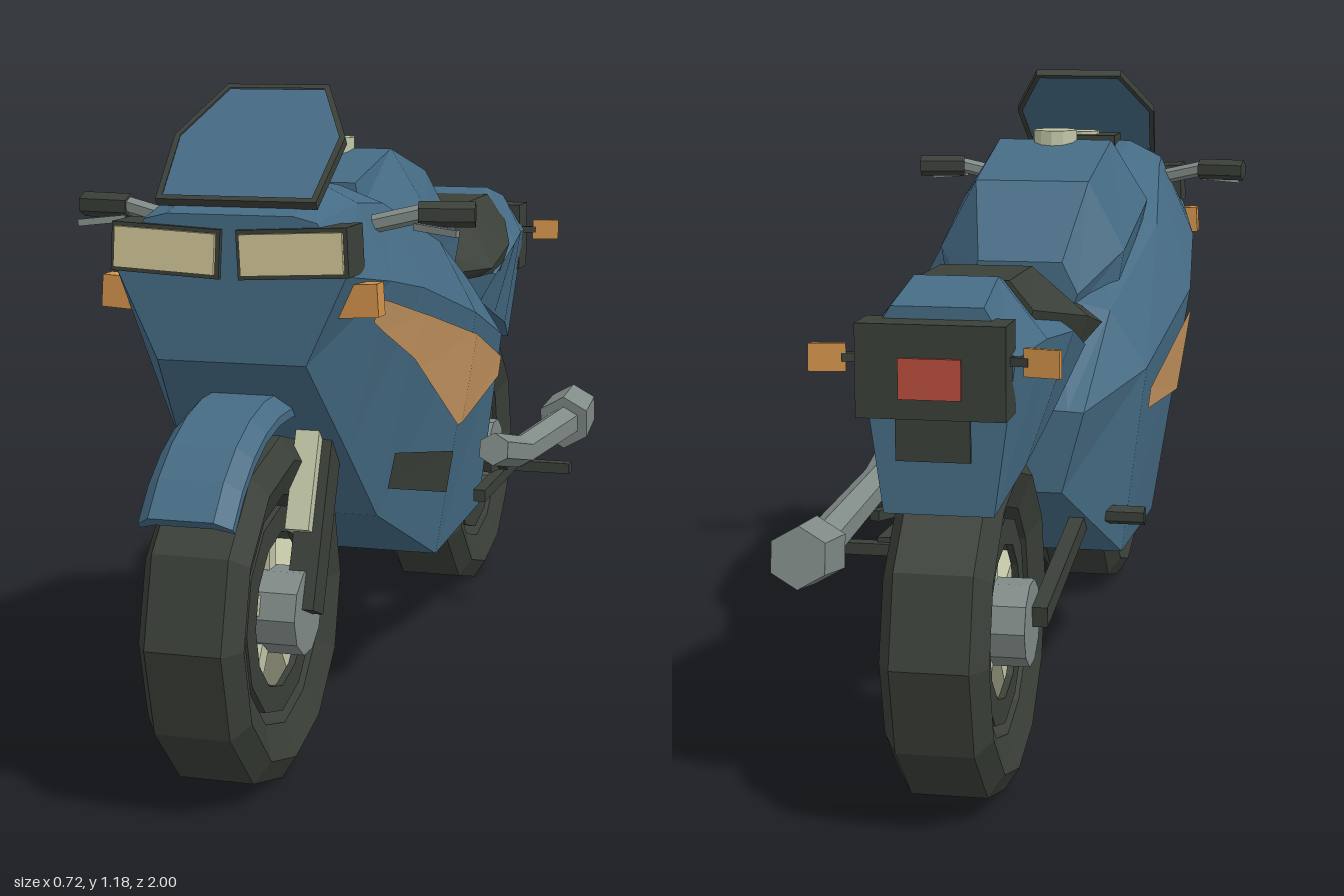
import * as THREE from 'three';

const mat = (name, color) => {
  const m = new THREE.MeshStandardMaterial({ color, flatShading: true });
  m.name = name;
  return m;
};

export function createModel() {
  const blue = mat('blue paint', 0x456b84), dark = mat('dark rubber', 0x3a3f38);
  const grey = mat('grey metal', 0x808a86), pale = mat('pale alloy', 0xc2c6a6);
  const cream = mat('headlight glass', 0xd2c698), orange = mat('indicator orange', 0xd0924a);
  const tan = mat('tan stripe', 0xc89660), red = mat('red lamp', 0xb84c3e);
  const bike = new THREE.Group();
  const V = (x, y, z) => new THREE.Vector3(x, y, z);

  const add = (name, geo, m, pos = [0, 0, 0], parent = bike) => {
    const mesh = new THREE.Mesh(geo, m);
    mesh.name = name;
    mesh.position.set(...pos);
    parent.add(mesh);
    return mesh;
  };
  const box = (name, m, size, pos, parent) => add(name, new THREE.BoxGeometry(...size), m, pos, parent);
  // Straight bar from a to b: rectangular w x h
  const bar = (name, m, a, b, w, h) => {
    const p = V(...a), q = V(...b);
    const mesh = box(name, m, [w, h, p.distanceTo(q)], p.clone().add(q).multiplyScalar(0.5).toArray());
    mesh.lookAt(q);
    return mesh;
  };
  // Six-sided rod from a to b with end radii
  const rod = (name, m, a, b, ra, rb = ra) => {
    const p = V(...a), q = V(...b);
    const geo = new THREE.CylinderGeometry(rb, ra, p.distanceTo(q), 6).rotateX(Math.PI / 2);
    const mesh = add(name, geo, m, p.clone().add(q).multiplyScalar(0.5).toArray());
    mesh.lookAt(q);
    return mesh;
  };
  const fromTriangles = (pts) => {
    const geo = new THREE.BufferGeometry().setFromPoints(pts);
    geo.computeVertexNormals();
    return geo;
  };
  // Mirrored half sections [z, [x, y] from bottom to top...], listed front to back
  const loft = (sections) => {
    const rings = sections.map(([z, ...h]) => [
      ...h.map(([x, y]) => V(x, y, z)), ...h.slice().reverse().map(([x, y]) => V(-x, y, z))]);
    const n = rings[0].length, pts = [];
    for (let i = 0; i < rings.length - 1; i++) {
      for (let j = 0; j < n; j++) {
        const k = (j + 1) % n, [a, b, c, d] = [rings[i][j], rings[i][k], rings[i + 1][k], rings[i + 1][j]];
        pts.push(a, d, c, a, c, b);
      }
    }
    const f = rings[0], r = rings[rings.length - 1];
    for (let j = 1; j < n - 1; j++) pts.push(f[0], f[j], f[j + 1], r[0], r[j + 1], r[j]);
    return fromTriangles(pts);
  };

  // Fairing
  const hull = [
    [0.76, [0.13, 0.73], [0.2, 0.88], [0.15, 0.965], [0.11, 0.975]],
    [0.6, [0.153, 0.555], [0.23, 0.855], [0.17, 0.985], [0.1, 1.02]],
    [0.48, [0.17, 0.42], [0.255, 0.83], [0.18, 0.975], [0.1, 1.005]],
    [0.2, [0.205, 0.285], [0.28, 0.75], [0.21, 0.88], [0.1, 0.925]],
    [-0.19, [0.195, 0.295], [0.24, 0.652], [0.17, 0.76], [0.08, 0.78]],
    [-0.38, [0.11, 0.45], [0.15, 0.6], [0.12, 0.602], [0.05, 0.605]],
  ];
  add('fairing', loft(hull), blue);

  // Point on the lower flank of the fairing, pushed slightly outwards
  const flank = (s, z, y) => {
    const i = hull.findIndex((h, k) => k > 0 && h[0] <= z), p = hull[i - 1], q = hull[i];
    const t = (p[0] - z) / (p[0] - q[0]), mix = (k, c) => p[k][c] + (q[k][c] - p[k][c]) * t;
    const u = (y - mix(1, 1)) / (mix(2, 1) - mix(1, 1));
    return V(s * (mix(1, 0) + (mix(2, 0) - mix(1, 0)) * u + 0.009), y, z);
  };
  // Painted strip given by columns [z, lower y, upper y]
  const strip = (name, m, s, cols) => {
    const pts = [];
    for (let i = 0; i < cols.length - 1; i++) {
      const [z0, l0, u0] = cols[i], [z1, l1, u1] = cols[i + 1];
      const a = flank(s, z0, l0), b = flank(s, z0, u0), c = flank(s, z1, u1), d = flank(s, z1, l1);
      pts.push(...(s > 0 ? [a, d, c, a, c, b] : [a, c, d, a, b, c]));
    }
    add(name, fromTriangles(pts), m);
  };

  // Fuel tank, seat and tail
  add('tank', loft([
    [0.38, [0.1, 0.9], [0.11, 0.95], [0.1, 1.0]],
    [0.2, [0.17, 0.84], [0.19, 0.93], [0.115, 1.05]],
    [-0.07, [0.16, 0.74], [0.18, 0.86], [0.11, 0.99]],
    [-0.2, [0.09, 0.74], [0.11, 0.79], [0.08, 0.85]],
  ]), blue);
  add('fuelCap', new THREE.CylinderGeometry(0.045, 0.045, 0.03, 12), pale, [0, 1.055, 0.2]);
  add('seat', loft([
    [-0.15, [0.08, 0.745], [0.1, 0.77], [0.06, 0.785]],
    [-0.36, [0.15, 0.745], [0.18, 0.765], [0.08, 0.79]],
    [-0.52, [0.16, 0.74], [0.18, 0.8], [0.08, 0.885]],
    [-0.73, [0.1, 0.78], [0.12, 0.84], [0.08, 0.888]],
  ]), dark);
  add('tail', loft([
    [-0.46, [0.13, 0.68], [0.165, 0.74], [0.08, 0.755]],
    [-0.62, [0.125, 0.63], [0.17, 0.79], [0.07, 0.86]],
    [-0.77, [0.115, 0.59], [0.15, 0.8], [0.07, 0.9]],
    [-0.915, [0.09, 0.535], [0.125, 0.79], [0.075, 0.87]],
  ]), blue);
  box('tailLampHousing', dark, [0.24, 0.15, 0.08], [0, 0.775, -0.93]);
  box('tailLamp', red, [0.1, 0.065, 0.008], [0, 0.765, -0.972]);
  box('rearPlate', dark, [0.12, 0.08, 0.008], [0, 0.67, -0.95]);

  // Windscreen with dark frame, leaning back
  const screen = new THREE.Group();
  screen.name = 'windscreen';
  screen.position.set(0, 0.99, 0.73);
  screen.rotation.x = -0.9;
  bike.add(screen);
  const outline = (k) => [[-0.14, 0], [-0.152, 0.16], [-0.092, 0.292], [0.092, 0.292], [0.152, 0.16], [0.14, 0]]
    .map(([x, y]) => new THREE.Vector2(x * k, 0.15 + (y - 0.15) * k));
  const frame = new THREE.Shape(outline(1));
  frame.holes.push(new THREE.Path(outline(0.93)));
  const extrude = (shape, depth) => new THREE.ExtrudeGeometry(shape, { depth, bevelEnabled: false });
  add('screenFrame', extrude(frame, 0.016), dark, [0, 0, -0.008], screen);
  add('screenPane', extrude(new THREE.Shape(outline(0.94)), 0.008), blue, [0, 0, -0.004], screen);

  // Instruments
  box('dashboard', dark, [0.15, 0.05, 0.1], [0, 1.01, 0.58]);
  add('dial', new THREE.CylinderGeometry(0.035, 0.035, 0.008, 10), pale, [0, 1.038, 0.58]);

  // Wheels: tyre, brake rings, spokes and hub
  const ring = (profile) => new THREE.LatheGeometry(
    [...profile, profile[0]].map((p) => new THREE.Vector2(...p)), 12).rotateZ(Math.PI / 2);
  const wheel = (name, z) => {
    const g = new THREE.Group();
    g.name = name;
    g.position.set(0, 0.3, z);
    bike.add(g);
    add('tyre', ring([[0.2, -0.07], [0.26, -0.09], [0.3, -0.065], [0.3, 0.065], [0.26, 0.09], [0.2, 0.07]]), dark, [0, 0, 0], g);
    for (const s of [-1, 1]) {
      add('brakeRing', ring([[0.135, -0.006], [0.18, -0.006], [0.18, 0.006], [0.135, 0.006]]), dark, [s * 0.06, 0, 0], g);
    }
    add('hub', new THREE.CylinderGeometry(0.075, 0.075, 0.225, 10).rotateZ(Math.PI / 2), grey, [0, 0, 0], g);
    for (let i = 0; i < 5; i++) {
      const a = Math.PI / 2 + i * Math.PI * 0.4;
      const spoke = box('spoke', pale, [0.1, 0.16, 0.035], [0, Math.sin(a) * 0.13, Math.cos(a) * 0.13], g);
      spoke.rotation.x = Math.PI / 2 - a;
    }
  };
  wheel('frontWheel', 0.7);
  wheel('rearWheel', -0.7);

  // Front mudguard with closed tip
  const guard = [[0.33, -0.08], [0.345, -0.08], [0.37, -0.055], [0.37, 0.055], [0.345, 0.08], [0.33, 0.08], [0.345, 0.05], [0.345, -0.05]]
    .map((p) => new THREE.Vector2(...p));
  const tip = Math.PI * 0.2;
  add('mudguard', new THREE.LatheGeometry([...guard, guard[0]], 7, tip, 1.4).rotateZ(Math.PI / 2), blue, [0, 0.3, 0.7]);
  add('mudguardTip', new THREE.ShapeGeometry(new THREE.Shape(guard)).rotateY(tip - Math.PI / 2).rotateZ(Math.PI / 2), blue, [0, 0.3, 0.7]);

  // Parts repeated on both sides
  for (const s of [-1, 1]) {
    strip('sideStripe', tan, s, [[0.64, 0.79, 0.83], [0.6, 0.768, 0.82], [0.48, 0.705, 0.785], [0.44, 0.68, 0.775],
      [0.22, 0.54, 0.715], [0.2, 0.541, 0.71], [-0.165, 0.57, 0.61]]);
    strip('sideVent', dark, s, [[0.479, 0.47, 0.535], [0.22, 0.41, 0.49]]);
    bar('forkLeg', dark, [s * 0.107, 0.3, 0.705], [s * 0.107, 0.6, 0.585], 0.05, 0.06);
    bar('forkTube', pale, [s * 0.094, 0.43, 0.677], [s * 0.094, 0.6, 0.609], 0.042, 0.06);

    const lamp = new THREE.Group();
    lamp.name = 'headlight';
    lamp.position.set(s * 0.11, 0.915, 0.725);
    lamp.rotation.z = s * 0.05;
    bike.add(lamp);
    box('lampHousing', dark, [0.19, 0.082, 0.09], [0, 0, 0], lamp);
    box('lampGlass', cream, [0.176, 0.068, 0.008], [0, 0, 0.048], lamp);

    const blinker = box('frontIndicator', orange, [0.07, 0.055, 0.04], [s * 0.207, 0.836, 0.705]);
    blinker.rotation.z = s * 0.06;
    bar('rearIndicatorStalk', dark, [s * 0.11, 0.79, -0.925], [s * 0.15, 0.79, -0.935], 0.014, 0.014);
    const rear = box('rearIndicator', orange, [0.06, 0.045, 0.01], [s * 0.172, 0.79, -0.94]);
    rear.rotation.y = s * 0.22;

    // Handlebar, grip and lever
    rod('handlebar', grey, [s * 0.16, 0.94, 0.56], [s * 0.275, 0.967, 0.545], 0.016);
    rod('grip', dark, [s * 0.262, 0.964, 0.545], [s * 0.357, 0.964, 0.528], 0.022);
    bar('brakeLever', grey, [s * 0.262, 0.945, 0.57], [s * 0.342, 0.937, 0.592], 0.012, 0.012);

    bar('swingArm', dark, [s * 0.125, 0.375, -0.25], [s * 0.125, 0.31, -0.7], 0.028, 0.036);
    rod('footPeg', dark, [s * 0.15, 0.378, -0.235], [s * 0.245, 0.378, -0.235], 0.018);
  }

  // Rear shock, exhaust and pedal
  bar('rearShock', dark, [0, 0.73, -0.24], [0, 0.48, -0.48], 0.06, 0.05);
  rod('exhaustFront', grey, [0.285, 0.465, 0.065], [0.285, 0.412, -0.18], 0.032);
  rod('exhaustPipe', grey, [0.285, 0.415, -0.16], [0.285, 0.39, -0.64], 0.032, 0.036);
  rod('muffler', grey, [0.285, 0.39, -0.625], [0.285, 0.405, -0.74], 0.06, 0.055);
  bar('exhaustBracket', dark, [0.21, 0.37, -0.2], [0.255, 0.38, -0.33], 0.02, 0.02);
  bar('pedalArm', dark, [0.22, 0.335, -0.09], [0.22, 0.345, -0.4], 0.024, 0.024);
  bar('pedal', dark, [0.2, 0.337, -0.4], [0.345, 0.337, -0.4], 0.028, 0.022);

  return bike;
}
